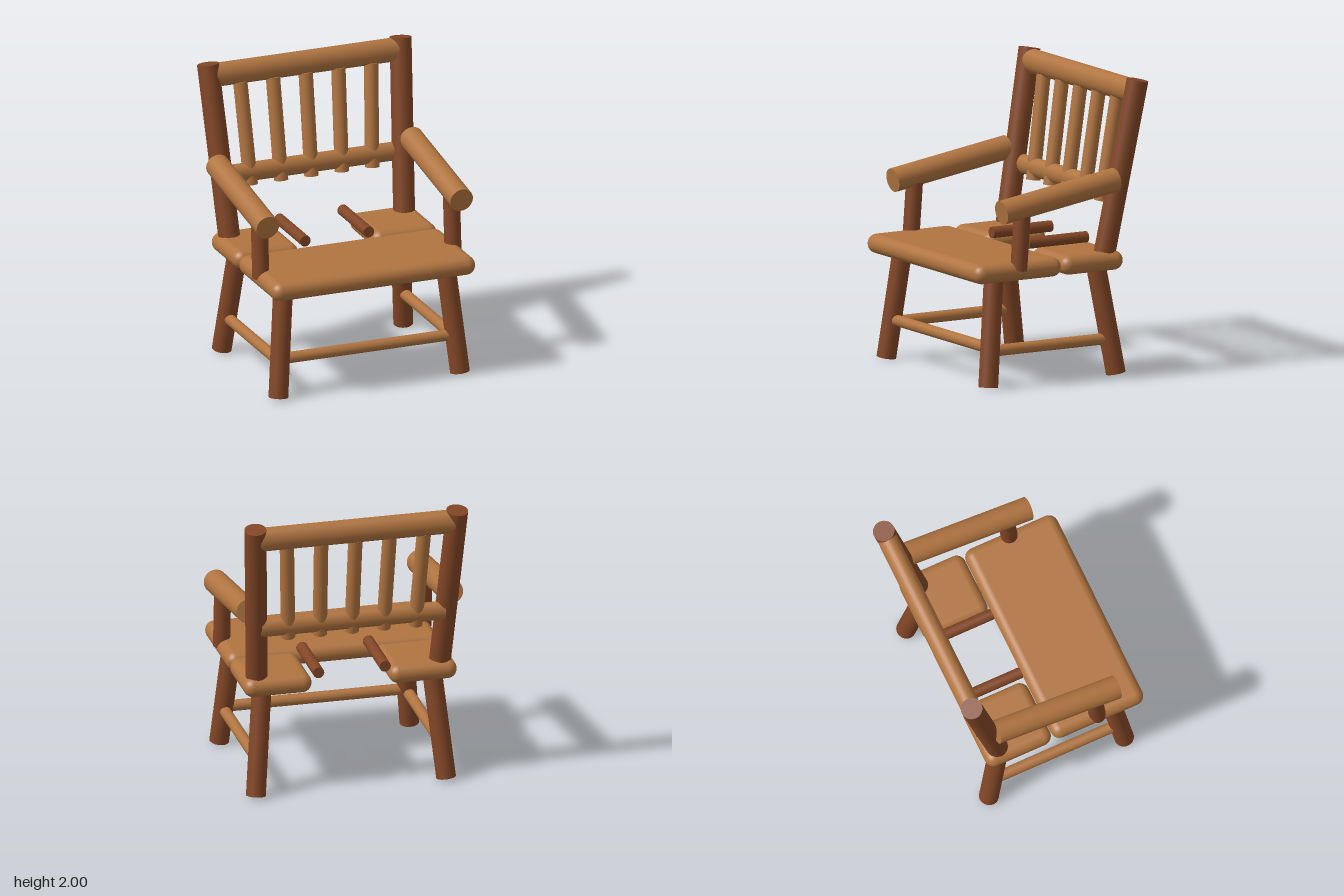
import * as THREE from 'three';
import { RoundedBoxGeometry } from 'three/addons/geometries/RoundedBoxGeometry.js';

const UP = new THREE.Vector3(0, 1, 0);

export function createModel() {
  const chair = new THREE.Group();
  chair.name = 'logArmchair';

  const darkWood = new THREE.MeshStandardMaterial({ name: 'dark wood', color: 0x824626 });
  const lightWood = new THREE.MeshStandardMaterial({ name: 'light wood', color: 0xb07440 });

  // Round log between two points; depth squashes its z section
  function log(name, from, to, radius, material, depth = 1) {
    const a = new THREE.Vector3(...from);
    const b = new THREE.Vector3(...to);
    const dir = b.clone().sub(a);
    const mesh = new THREE.Mesh(new THREE.CylinderGeometry(radius, radius, dir.length(), 28), material);
    mesh.name = name;
    mesh.position.copy(a).add(b).multiplyScalar(0.5);
    mesh.quaternion.setFromUnitVectors(UP, dir.normalize());
    mesh.scale.z = depth;
    chair.add(mesh);
  }

  // Plank with fully rounded edges
  function plank(name, x0, x1, z0, z1) {
    const mesh = new THREE.Mesh(new RoundedBoxGeometry(x1 - x0, 0.13, z1 - z0, 6, 0.064), lightWood);
    mesh.name = name;
    mesh.position.set((x0 + x1) / 2, 0.78, (z0 + z1) / 2);
    chair.add(mesh);
  }

  // Seat: one wide front plank and two short rear planks
  plank('frontSeatPlank', -0.73, 0.73, -0.003, 0.668);

  for (const [side, s] of [['left', 1], ['right', -1]]) {
    plank(side + 'RearSeatPlank', s > 0 ? 0.265 : -0.73, s > 0 ? 0.73 : -0.265, -0.484, -0.008);
    log(side + 'SeatPeg', [s * 0.228, 0.862, -0.478], [s * 0.228, 0.862, -0.018], 0.038, darkWood);

    // Splayed legs
    log(side + 'FrontLeg', [s * 0.652, 0.008, 0.542], [s * 0.58, 0.78, 0.453], 0.066, darkWood);
    log(side + 'RearLeg', [s * 0.652, 0.012, -0.45], [s * 0.58, 0.78, -0.33], 0.066, darkWood);
    log(side + 'Stretcher', [s * 0.63, 0.247, -0.41], [s * 0.63, 0.247, 0.51], 0.038, lightWood);

    // Leaning back posts
    log(side + 'BackPost', [s * 0.626, 0.79, -0.37], [s * 0.692, 1.985, -0.595], 0.073, darkWood);

    // Sloping armrest on its post
    log(side + 'Armrest', [s * 0.696, 1.188, 0.465], [s * 0.696, 1.328, -0.418], 0.081, lightWood);
    log(side + 'ArmPost', [s * 0.69, 0.785, 0.328], [s * 0.69, 1.2, 0.298], 0.057, darkWood);
  }

  log('frontStretcher', [-0.62, 0.265, 0.51], [0.62, 0.265, 0.51], 0.038, lightWood);

  // Backrest rails, slightly flattened front to back
  log('topRail', [-0.67, 1.905, -0.583], [0.67, 1.905, -0.583], 0.082, lightWood, 0.82);
  log('lowerRail', [-0.63, 1.227, -0.48], [0.63, 1.227, -0.48], 0.065, lightWood, 0.8);

  // Fanned spindles
  for (let i = -2; i <= 2; i++) {
    log('spindle' + (i + 3), [i * 0.218, 1.142, -0.468], [i * 0.235, 1.84, -0.57], 0.048, lightWood);
  }

  return chair;
}
